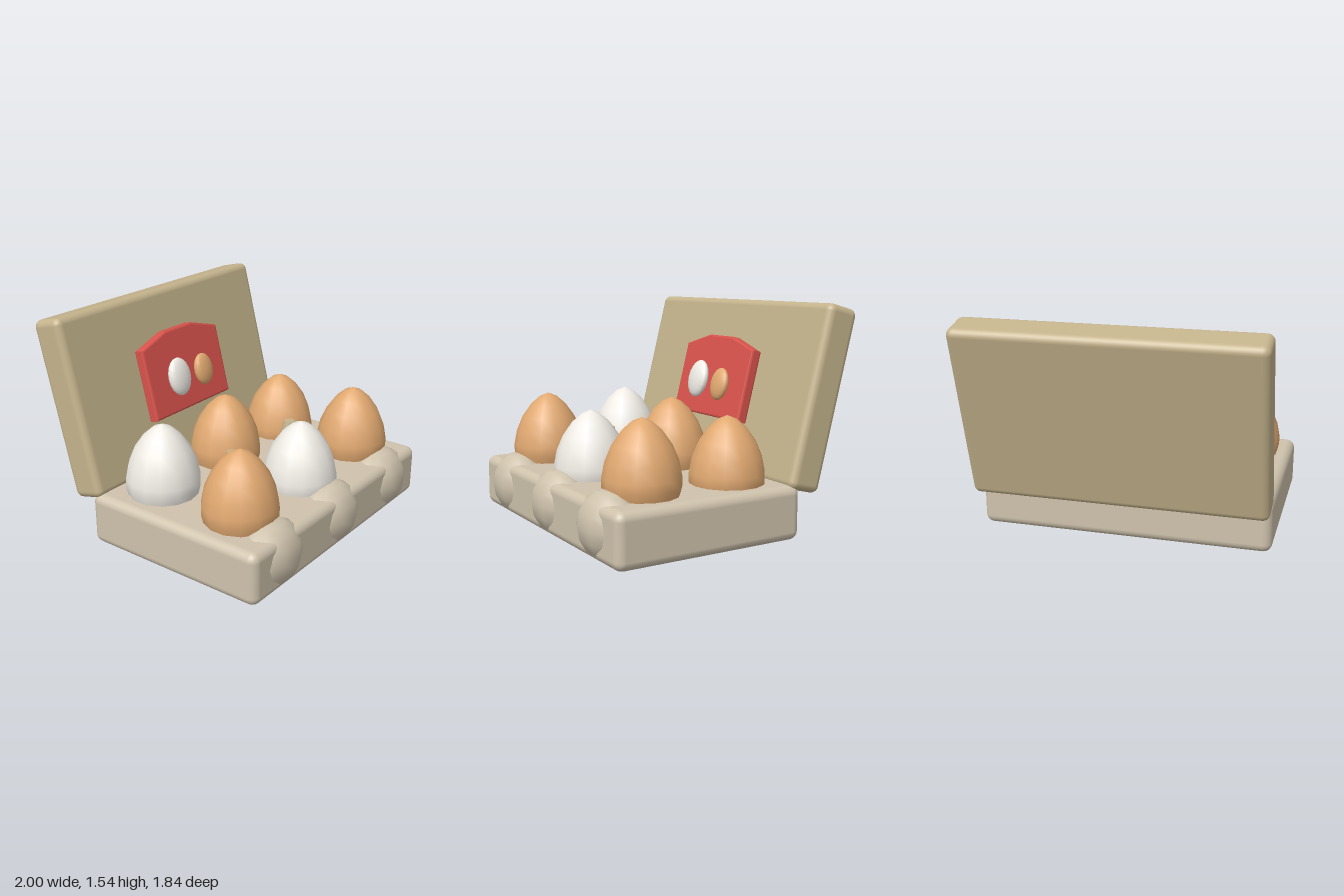
import * as THREE from 'three';
import { RoundedBoxGeometry } from 'three/addons/geometries/RoundedBoxGeometry.js';

const mat = (color) => new THREE.MeshStandardMaterial({ color });
const cardboard = mat(0xcfc3ad);
const lidCard = mat(0xc4b38c);
const brown = mat(0xe0a870);
const white = mat(0xefebe4);
const red = mat(0xd9534c);

function add(parent, name, geometry, material, x, y, z) {
  const mesh = new THREE.Mesh(geometry, material);
  mesh.name = name;
  mesh.position.set(x, y, z);
  parent.add(mesh);
  return mesh;
}

// Egg outline as radius and height, with the blunt end down and the tip at y = 0
const eggProfile = [
  [0, -0.7], [0.09, -0.68], [0.17, -0.62], [0.225, -0.53], [0.25, -0.43], [0.25, -0.37],
  [0.23, -0.27], [0.188, -0.17], [0.125, -0.08], [0.062, -0.025], [0, 0],
].map(([r, y]) => new THREE.Vector2(r, y));

export function createModel() {
  const model = new THREE.Group();
  model.name = 'eggCarton';

  // Tray
  add(model, 'tray', new RoundedBoxGeometry(2, 0.36, 1.35, 3, 0.06), cardboard, 0, 0.21, 0.195);

  // Cup bulges along the front, and two rows of eggs
  const bulge = new THREE.SphereGeometry(1, 10, 8).scale(0.27, 0.225, 0.18);
  const egg = new THREE.LatheGeometry(eggProfile, 14);
  const rows = [
    { z: 0.51, eggs: [[brown, 0.87], [white, 0.83], [brown, 0.87]] },
    { z: -0.13, eggs: [[white, 0.87], [brown, 0.87], [brown, 0.83]] },
  ];
  for (let i = 0; i < 3; i++) {
    const x = (i - 1) * 0.667;
    add(model, 'cupBulge', bulge, cardboard, x, 0.226, 0.745);
    for (const row of rows) {
      const [material, top] = row.eggs[i];
      add(model, 'egg', egg, material, x, top, row.z);
    }
  }

  // Divider posts between the eggs
  const post = new THREE.CylinderGeometry(0.04, 0.112, 0.3, 10);
  for (const side of [-1, 1]) add(model, 'dividerPost', post, lidCard, side * 0.333, 0.49, 0.19);

  // Open lid, leaning back
  const lid = new THREE.Group();
  lid.name = 'lidGroup';
  lid.position.set(0, 0.93, -0.663);
  lid.rotation.x = -0.25;
  model.add(lid);
  add(lid, 'lid', new RoundedBoxGeometry(2, 1.22, 0.244, 3, 0.05), lidCard, 0, 0, 0);

  // Label plaque with an angled top
  const outline = new THREE.Shape([
    [-0.4, -0.265], [0.4, -0.265], [0.4, 0.24], [0.14, 0.318], [-0.14, 0.318], [-0.4, 0.24],
  ].map(([x, y]) => new THREE.Vector2(x, y)));
  const plaque = new THREE.ExtrudeGeometry(outline, {
    depth: 0.05, bevelThickness: 0.014, bevelSize: 0.014, bevelOffset: -0.014, bevelSegments: 2,
  });
  add(lid, 'labelPlaque', plaque, red, 0, 0, 0.132);

  // Small raised eggs on the plaque
  const ball = new THREE.SphereGeometry(1, 14, 10);
  add(lid, 'whiteLabelEgg', ball, white, -0.125, -0.016, 0.226).scale.set(0.105, 0.136, 0.047);
  add(lid, 'brownLabelEgg', ball, brown, 0.138, -0.03, 0.222).scale.set(0.09, 0.116, 0.042);

  return model;
}
